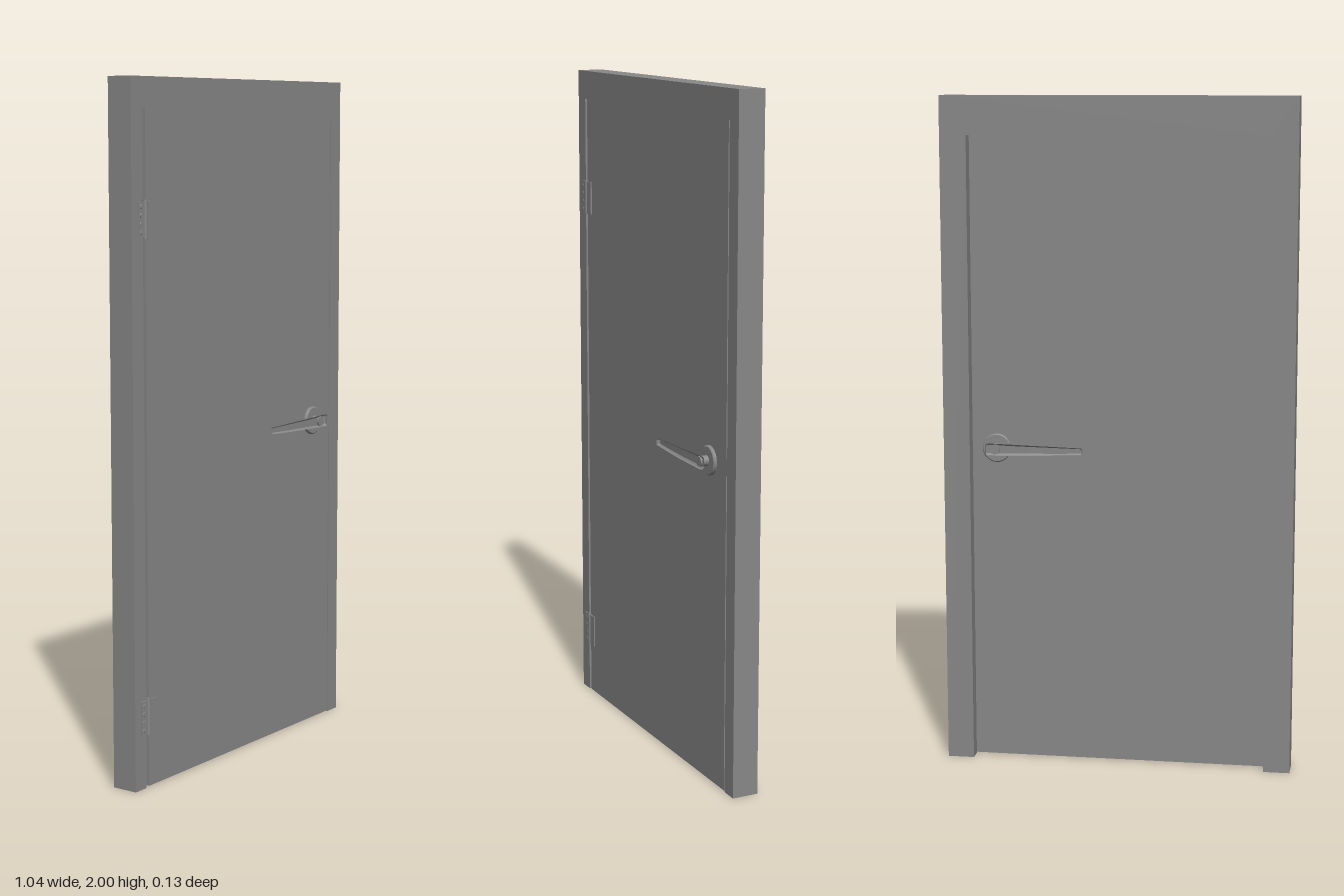
import * as THREE from 'three';

const material = new THREE.MeshStandardMaterial({ color: 0x888888 });
const flat = new THREE.MeshStandardMaterial({ color: 0x888888, flatShading: true });

const FACE = 0.019; // leaf and frame front; the leaf is centred on z = 0

function add(parent, name, geometry, x = 0, y = 0, z = 0, mat = material) {
  const mesh = new THREE.Mesh(geometry, mat);
  mesh.name = name;
  mesh.position.set(x, y, z);
  parent.add(mesh);
  return mesh;
}

// Box given by its lower and upper corners
function block(parent, name, [x0, y0, z0], [x1, y1, z1]) {
  return add(parent, name, new THREE.BoxGeometry(x1 - x0, y1 - y0, z1 - z0),
    (x0 + x1) / 2, (y0 + y1) / 2, (z0 + z1) / 2);
}

// Upside-down U: two jambs joined by a head, open at the floor
function surround(left, right, top, depth) {
  const pts = [[-0.522, 0], [left, 0], [left, top], [right, top], [right, 0], [0.522, 0], [0.522, 2], [-0.522, 2]];
  const shape = new THREE.Shape(pts.map(([x, y]) => new THREE.Vector2(x, y)));
  return new THREE.ExtrudeGeometry(shape, { depth, bevelEnabled: false });
}

// Disc or pin lying along z, with its base at z
function disc(parent, name, radius, depth, x, y, z, topRadius = radius) {
  const g = new THREE.CylinderGeometry(topRadius, radius, depth, 32).rotateX(Math.PI / 2);
  return add(parent, name, g, x, y, z + depth / 2);
}

// Tapered lever lofted through chamfered cross-sections: [x, z, half height, half depth]
function leverGeometry() {
  const sections = [
    [0.028, 0.057, 0.014, 0.005], [0.024, 0.057, 0.018, 0.0075], [-0.035, 0.058, 0.0165, 0.0078],
    [-0.105, 0.0585, 0.0145, 0.0078], [-0.175, 0.0565, 0.0125, 0.0075], [-0.259, 0.053, 0.0095, 0.007],
    [-0.263, 0.053, 0.007, 0.005]];
  const outline = [[1, 0.5], [0.7, 1], [-0.7, 1], [-1, 0.5], [-1, -0.5], [-0.7, -1], [0.7, -1], [1, -0.5]];
  const n = outline.length, last = (sections.length - 1) * n;
  const pos = [], index = [];
  for (const [x, z, h, d] of sections)
    for (const [a, b] of outline) pos.push(x, a * h, z + b * d);
  for (let s = 0; s < last; s += n)
    for (let i = 0; i < n; i++) {
      const j = (i + 1) % n;
      index.push(s + i, s + j, s + n + i, s + j, s + n + j, s + n + i);
    }
  for (let i = 1; i < n - 1; i++) {
    index.push(0, i + 1, i);
    index.push(last, last + i, last + i + 1);
  }
  const g = new THREE.BufferGeometry();
  g.setAttribute('position', new THREE.Float32BufferAttribute(pos, 3));
  g.setIndex(index);
  g.computeVertexNormals();
  return g;
}

function createHandle(name) {
  const handle = new THREE.Group();
  handle.name = name;
  disc(handle, 'rosette', 0.043, 0.007, 0, 0, FACE);
  disc(handle, 'rosetteRim', 0.043, 0.003, 0, 0, FACE + 0.007, 0.04);
  disc(handle, 'neck', 0.015, 0.026, 0, 0, FACE + 0.01);
  add(handle, 'lever', leverGeometry(), 0, 0, 0, flat);
  return handle;
}

function createHinge(y) {
  const hinge = new THREE.Group();
  hinge.name = 'hinge';
  hinge.position.set(-0.463, y, FACE);
  for (const side of [-1, 1])
    add(hinge, 'hingePlate', new THREE.BoxGeometry(0.034, 0.1, 0.004), side * 0.017, 0, 0.002);
  // Screws on the frame plate
  for (const sy of [-0.036, -0.012, 0.012, 0.036])
    disc(hinge, 'screw', 0.006, 0.001, -0.022, sy, 0.004, 0.005);
  // Knuckle in five barrels with a cap at each end
  for (let i = -2; i <= 2; i++)
    add(hinge, 'knuckle', new THREE.CylinderGeometry(0.008, 0.008, 0.0195, 16), 0, i * 0.02, 0);
  for (const s of [-1, 1])
    add(hinge, 'pinCap', new THREE.CylinderGeometry(0.006, 0.006, 0.004, 16), 0, s * 0.0515, 0);
  return hinge;
}

export function createModel() {
  const model = new THREE.Group();
  model.name = 'door';

  // Frame: front rebate holding the leaf, and a narrower stop behind it
  add(model, 'frameRebate', surround(-0.473, 0.471, 1.915, 2 * FACE), 0, 0, -FACE);
  add(model, 'frameStop', surround(-0.443, 0.443, 1.886, 0.041), 0, 0, -FACE - 0.041);

  // Leaf, flush with the frame front
  block(model, 'leaf', [-0.46, 0.003, -FACE], [0.466, 1.915, FACE]);
  block(model, 'latch', [0.465, 0.935, -0.012], [0.472, 0.985, FACE]);

  // Seals at the bottom of the side gaps
  block(model, 'hingeSeal', [-0.474, 0, -FACE], [-0.459, 1.915, 0.006]);
  block(model, 'latchSeal', [0.465, 0, -FACE], [0.472, 1.915, 0.006]);

  // Hinges on the right edge
  for (const y of [0.208, 1.613]) model.add(createHinge(y));

  // The same handle on both faces
  const front = createHandle('frontHandle'), back = createHandle('backHandle');
  back.rotation.x = Math.PI;
  for (const handle of [front, back]) {
    handle.position.set(0.368, 0.96, 0);
    model.add(handle);
  }
  return model;
}
